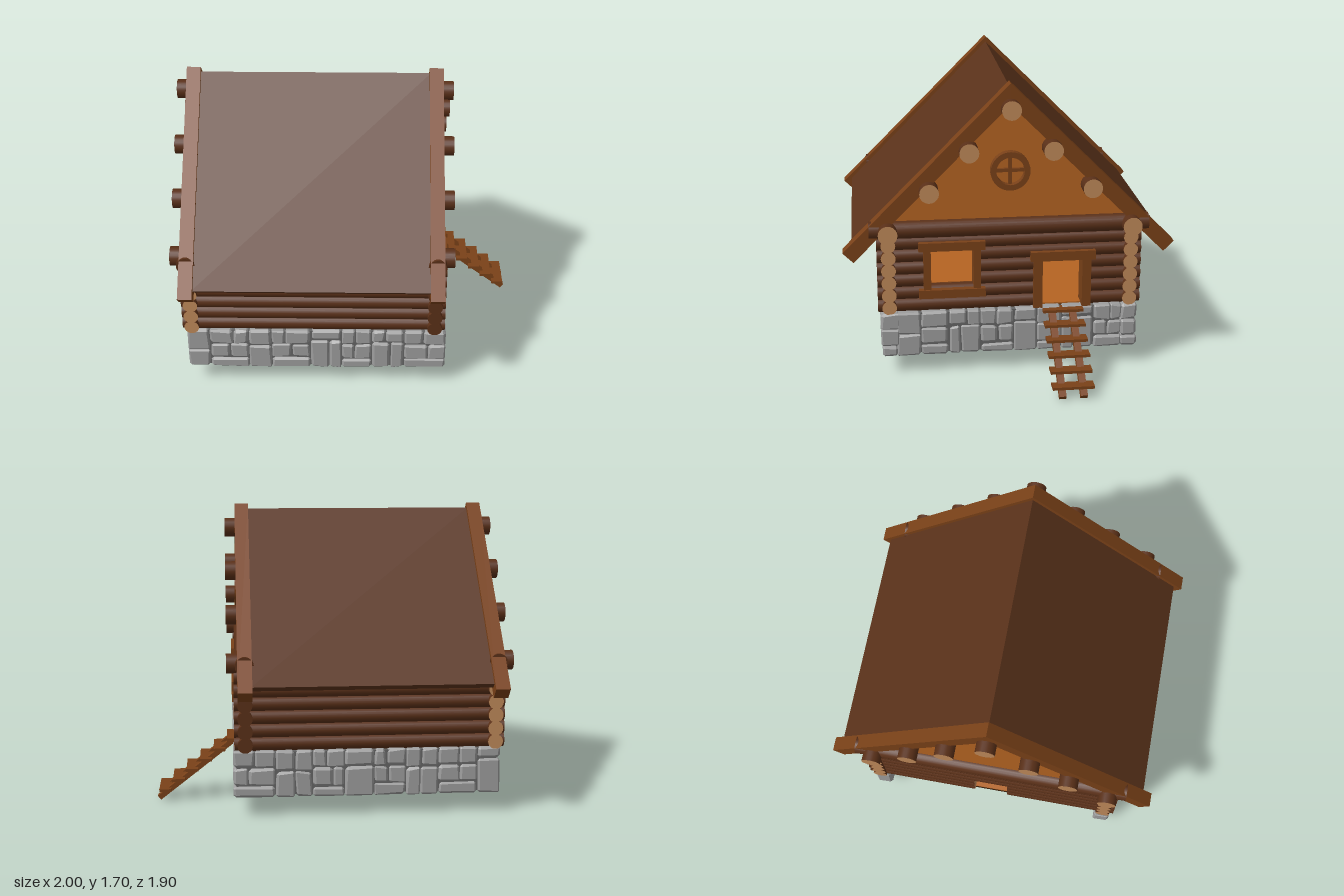
import * as THREE from 'three';
import { ConvexGeometry } from 'three/addons/geometries/ConvexGeometry.js';

const mat = (color, extra = {}) => new THREE.MeshStandardMaterial({ color, ...extra });
const bark = mat(0x5a3018), cutWood = mat(0xc08a5a), roofWood = mat(0x5a321a);
const trim = mat(0x7a4118), plank = mat(0xb56422), darkWood = mat(0x40240f);
const stone = mat(0x9e9e9e, { flatShading: true }), mortar = mat(0x666666);

let seed = 7;
const rand = (a, b) => {
  seed = (seed * 16807) % 2147483647;
  return a + (b - a) * seed / 2147483647;
};

function add(parent, name, geometry, material) {
  const mesh = new THREE.Mesh(geometry, material);
  mesh.name = name;
  parent.add(mesh);
  return mesh;
}

function group(parent, name) {
  const g = new THREE.Group();
  g.name = name;
  parent.add(g);
  return g;
}

// Box given by its limits on each axis
function box(parent, name, [x0, x1], [y0, y1], [z0, z1], material) {
  const m = add(parent, name, new THREE.BoxGeometry(x1 - x0, y1 - y0, z1 - z0), material);
  m.position.set((x0 + x1) / 2, (y0 + y1) / 2, (z0 + z1) / 2);
  return m;
}

// Round log lying along x or z, from a to b
function log(parent, name, axis, a, b, y, across, r, capMaterial = cutWood) {
  const geo = new THREE.CylinderGeometry(r, r, b - a, 20);
  if (axis === 'x') geo.rotateZ(Math.PI / 2); else geo.rotateX(Math.PI / 2);
  const m = add(parent, name, geo, [bark, capMaterial, capMaterial]);
  const mid = (a + b) / 2;
  if (axis === 'x') m.position.set(mid, y, across); else m.position.set(across, y, mid);
}

// Outline in the z-y plane, extruded along x
function slab(parent, name, points, x0, x1, material) {
  const shape = new THREE.Shape(points.map(([z, y]) => new THREE.Vector2(z, y)));
  const geo = new THREE.ExtrudeGeometry(shape, { depth: x1 - x0, bevelEnabled: false });
  geo.rotateY(Math.PI / 2).translate(x0, 0, 0);
  return add(parent, name, geo, material);
}

// Inverted V with 45 degree slopes
const chevron = (top, reach, t) => [
  [0, top], [-reach, top - reach], [t - reach, top - reach - t],
  [0, top - 2 * t], [reach - t, top - reach - t], [reach, top - reach],
];

// Uneven stone with cut corners
function block(parent, w, h, d, x, y, z) {
  const pts = [];
  for (const sx of [-1, 1]) for (const sy of [-1, 1]) for (const sz of [-1, 1]) {
    const c = rand(0.006, 0.018);
    const p = [sx * (w / 2 - 0.002), sy * (h / 2 - 0.002), sz * d / 2];
    [0, 1, 2].forEach((keep) => pts.push(new THREE.Vector3(
      ...p.map((v, i) => (i === keep ? v : v - Math.sign(v) * c)))));
  }
  add(parent, 'stone', new ConvexGeometry(pts), stone).position.set(x, y, z);
}

// Run of stones along local x, in columns split at changing heights
function stoneWall(parent, name, length) {
  const wall = group(parent, name), y0 = 0.11, y1 = 0.38, depth = 0.1;
  box(wall, 'mortar', [-length / 2 + 0.02, length / 2 - 0.02], [y0 + 0.015, y1 - 0.01], [-0.035, 0.035], mortar);
  let x = -length / 2, i = 0;
  while (x < length / 2 - 0.01) {
    let w = rand(0.13, 0.23);
    if (length / 2 - x - w < 0.1) w = length / 2 - x;
    const split = (i++ % 2) ? rand(0.16, 0.19) : rand(0.22, 0.32);
    const rows = [[y0, split], [split, y1]];
    if (split < 0.2) rows.splice(1, 1, [split, 0.28], [0.28, y1]);
    for (const [a, b] of rows) {
      const cut = b - a > 0.08 && w > 0.17 ? rand(0.35, 0.65) * w : w;
      for (const [p, q] of cut < w ? [[0, cut], [cut, w]] : [[0, w]])
        block(wall, q - p, b - a, depth + rand(-0.012, 0.008), x + (p + q) / 2, (a + b) / 2, 0);
    }
    x += w;
  }
  return wall;
}

// Wall of stacked logs along z, with openings [z0, z1, y0, y1]
function gableLogs(parent, name, x, openings, cap) {
  const wall = group(parent, name);
  for (const y of rows) {
    let start = -0.76;
    for (const [z0, z1, y0, y1] of openings) {
      if (y < y0 || y > y1) continue;
      log(wall, 'wallLog', 'z', start, z0, y, x, 0.042, cap);
      start = z1;
    }
    log(wall, 'wallLog', 'z', start, 0.76, y, x, 0.042, cap);
  }
  log(wall, 'tieLog', 'z', -0.8, 0.8, 0.865, x, 0.052, bark);
}

const rows = [0, 1, 2, 3, 4, 5].map((i) => 0.413 + i * 0.075);

export function createModel() {
  const model = new THREE.Group();
  model.name = 'logCabin';

  // Stone footing on three sides, open at the left end
  const footing = group(model, 'footing');
  for (const s of [-1, 1])
    stoneWall(footing, 'sideFooting', 1.5).position.set(-0.19, 0, s * 0.695);
  const end = stoneWall(footing, 'doorFooting', 1.32);
  end.rotation.y = Math.PI / 2;
  end.position.x = 0.505;

  // Floor
  box(model, 'floorBase', [-0.92, 0.5], [0.345, 0.375], [-0.7, 0.7], darkWood);
  box(model, 'floor', [-0.92, 0.5], [0.375, 0.385], [-0.7, 0.7], plank);

  // Log walls
  for (const s of [-1, 1]) {
    const wall = group(model, s > 0 ? 'frontWall' : 'backWall');
    for (const y of rows) log(wall, 'wallLog', 'x', -0.96, 0.55, y, s * 0.695, 0.042);
  }
  gableLogs(model, 'doorWall', 0.49, [[-0.43, -0.17, 0.37, 0.665], [0.2, 0.465, 0.515, 0.75]], bark);
  gableLogs(model, 'leftWall', -0.905, [[-0.1, 0.1, 0.37, 0.58]], cutWood);

  // Gables
  const triangle = [[-0.75, 0.88], [0.75, 0.88], [0, 1.63]];
  slab(model, 'rightGable', triangle, 0.46, 0.49, plank);
  slab(model, 'leftGable', triangle, -0.905, -0.875, plank);

  // Roof, barge boards and purlins
  slab(model, 'roof', chevron(1.67, 0.9, 0.025), -0.87, 0.46, roofWood);
  for (const x of [-0.94, 0.45])
    slab(model, 'bargeBoard', chevron(1.7, 0.95, 0.06), x, x + 0.08, trim);
  log(model, 'ridgeLog', 'x', -1, 0.59, 1.56, 0, 0.055);
  for (const s of [-1, 1])
    for (const [z, y] of [[0.235, 1.325], [0.46, 1.1], [0.695, 0.865]])
      log(model, 'purlin', 'x', -1, 0.59, y, s * z, 0.055);

  // Window frame
  const win = group(model, 'windowFrame'), fx = [0.435, 0.55], lintel = [0.435, 0.56];
  box(win, 'lintel', lintel, [0.75, 0.8], [0.145, 0.525], trim);
  box(win, 'sill', lintel, [0.465, 0.515], [0.145, 0.525], trim);
  for (const z of [0.17, 0.455]) box(win, 'jamb', fx, [0.515, 0.75], [z, z + 0.042], trim);

  // Door frame
  const door = group(model, 'doorFrame');
  box(door, 'lintel', lintel, [0.665, 0.72], [-0.49, -0.115], trim);
  for (const z of [-0.467, -0.185]) box(door, 'jamb', fx, [0.375, 0.665], [z, z + 0.052], trim);

  // Round gable window
  const round = group(model, 'roundWindow');
  const ring = new THREE.Shape().absarc(0, 0, 0.112, 0, Math.PI * 2);
  ring.holes.push(new THREE.Path().absarc(0, 0, 0.08, 0, Math.PI * 2, true));
  add(round, 'ring', new THREE.ExtrudeGeometry(ring, { depth: 0.05, bevelEnabled: false, curveSegments: 16 })
    .rotateY(Math.PI / 2), trim);
  box(round, 'bar', [0, 0.025], [-0.085, 0.085], [-0.01, 0.01], trim);
  box(round, 'bar', [0, 0.025], [-0.01, 0.01], [-0.085, 0.085], trim);
  round.position.set(0.485, 1.2, 0);

  // Ladder to the door
  const ladder = group(model, 'ladder');
  for (const z of [-0.36, -0.24]) {
    const rail = add(ladder, 'rail', new THREE.BoxGeometry(0.55, 0.03, 0.04), trim);
    rail.position.set(0.77, 0.185, z);
    rail.rotation.z = -Math.atan2(0.35, 0.45);
  }
  for (let i = 0; i < 6; i++) {
    const x = 0.555 + i * 0.079, y = 0.365 - i * 0.059;
    box(ladder, 'tread', [x - 0.035, x + 0.035], [y - 0.008, y + 0.008], [-0.42, -0.185], trim);
  }
  return model;
}
